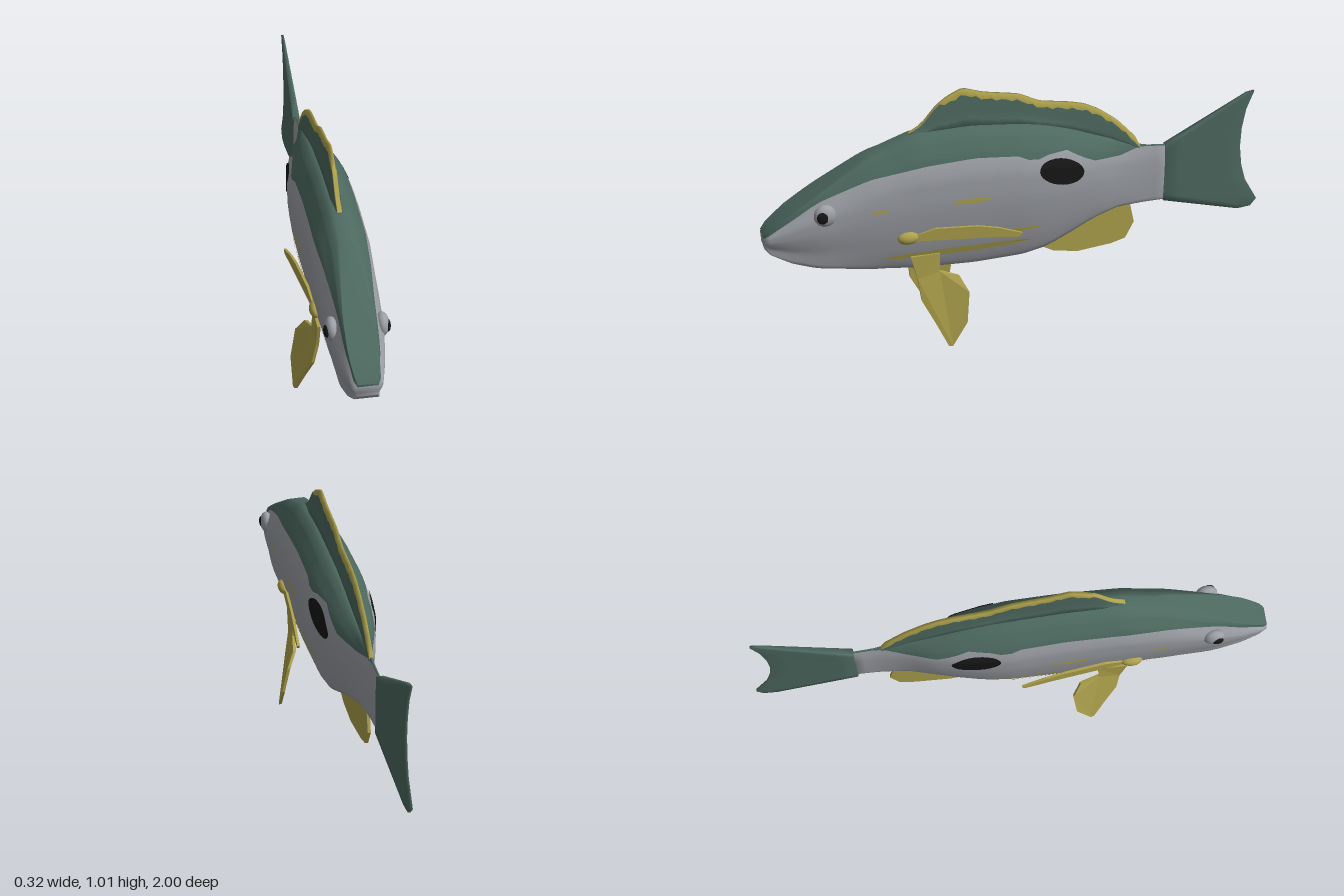
import * as THREE from 'three';

const mat = (name, color, side = THREE.FrontSide) => {
  const m = new THREE.MeshStandardMaterial({ color, side });
  m.name = name;
  return m;
};
const lerp = THREE.MathUtils.lerp;
const clamp = THREE.MathUtils.clamp;

// Piecewise linear lookup; rows are [key, value, ...] with rising or falling keys
function look(table, key, col = 1) {
  const dir = Math.sign(table[1][0] - table[0][0]);
  if ((key - table[0][0]) * dir <= 0) return table[0][col];
  for (let i = 1; i < table.length; i++) {
    const a = table[i - 1], b = table[i];
    if ((b[0] - key) * dir >= 0) return lerp(a[col], b[col], (key - a[0]) / (b[0] - a[0]));
  }
  return table[table.length - 1][col];
}

// Body outline: z, top, bottom, half width
const BODY = [
  [1, 0.53, 0.48, 0.045], [0.98, 0.553, 0.455, 0.057], [0.9, 0.615, 0.41, 0.078], [0.8, 0.68, 0.37, 0.095],
  [0.6, 0.80, 0.322, 0.106], [0.42, 0.862, 0.297, 0.112], [0.2, 0.87, 0.285, 0.117], [0, 0.85, 0.29, 0.12],
  [-0.1, 0.83, 0.31, 0.112], [-0.2, 0.80, 0.355, 0.097], [-0.3, 0.76, 0.40, 0.073], [-0.4, 0.72, 0.425, 0.036],
  [-0.5, 0.682, 0.43, 0.015], [-0.6, 0.67, 0.43, 0.012],
];
// Cross-section: height fraction, width fraction
const SECTION = [[0, 0.1], [0.03, 0.48], [0.19, 0.72], [0.36, 0.89], [0.53, 1], [0.74, 1], [0.86, 0.78], [0.96, 0.45], [1, 0.2]];
// Height of the colour change between flank and back
const FLANK = [
  [1, 0.522], [0.9, 0.59], [0.8, 0.655], [0.6, 0.73], [0.4, 0.76], [0.2, 0.77], [0.03, 0.755], [-0.03, 0.727],
  [-0.08, 0.742], [-0.17, 0.745], [-0.22, 0.71], [-0.28, 0.68], [-0.4, 0.665], [-0.48, 0.678], [-0.52, 0.7], [-0.6, 0.7],
];
// Dorsal fin edge
const DORSAL = [
  [0.43, 0.862], [0.38, 0.89], [0.32, 0.96], [0.28, 0.99], [0.22, 1.017], [0.14, 0.99], [0, 0.965], [-0.08, 0.925],
  [-0.2, 0.905], [-0.26, 0.89], [-0.32, 0.86], [-0.4, 0.80], [-0.47, 0.725], [-0.49, 0.685],
];

// Half width of the body surface at a given z and y
function bodyX(z, y) {
  const top = look(BODY, z), bottom = look(BODY, z, 2);
  const f = look(SECTION, clamp((y - bottom) / (top - bottom), 0, 1));
  const blunt = clamp((z - 0.55) / 0.4, 0, 1);
  return look(BODY, z, 3) * lerp(f, Math.max(f, 0.78), blunt);
}

// Skin closed by mirroring half rings (points run bottom to top, sections front to back)
function loft(name, halves, materials, split = Infinity) {
  const rows = halves[0].length, n = rows * 2, pos = [], lists = [[], []];
  for (const half of halves) {
    for (const [x, y, z] of half) pos.push(x, y, z);
    for (const [x, y, z] of [...half].reverse()) pos.push(-x, y, z);
  }
  for (let i = 0; i < halves.length - 1; i++) {
    for (let j = 0; j < n; j++) {
      const k = (j + 1) % n, a = i * n + j, b = i * n + k;
      const upper = j >= split && j < n - 1 - split;
      lists[upper ? 1 : 0].push(a, a + n, b, b, a + n, b + n);
    }
  }
  // End caps
  const last = (halves.length - 1) * n;
  for (let j = 0; j < rows - 1; j++) {
    const a = j, b = j + 1, c = n - 2 - j, d = n - 1 - j;
    const list = lists[j >= split ? 1 : 0];
    list.push(a, b, d, d, b, c, last + a, last + d, last + b, last + d, last + c, last + b);
  }
  const geo = new THREE.BufferGeometry();
  geo.setAttribute('position', new THREE.Float32BufferAttribute(pos, 3));
  geo.setIndex([...lists[0], ...lists[1]]);
  geo.addGroup(0, lists[0].length, 0);
  if (lists[1].length) geo.addGroup(lists[0].length, lists[1].length, 1);
  geo.computeVertexNormals();
  const mesh = new THREE.Mesh(geo, materials);
  mesh.name = name;
  return mesh;
}

// Thin fin from a [z, y] outline, bent sideways by a rule
function blade(name, outline, thick, material, bend = () => 0) {
  const shape = new THREE.Shape(outline.map(([z, y]) => new THREE.Vector2(z, y)));
  const geo = new THREE.ExtrudeGeometry(shape, { depth: thick, bevelEnabled: false });
  geo.translate(0, 0, -thick / 2).rotateY(-Math.PI / 2);
  const p = geo.attributes.position;
  for (let i = 0; i < p.count; i++) p.setX(i, p.getX(i) + bend(p.getZ(i), p.getY(i)));
  geo.computeVertexNormals();
  const mesh = new THREE.Mesh(geo, material);
  mesh.name = name;
  return mesh;
}

// Oval marking laid on the flank
function marking(name, side, [z0, y0, rz, ry, tilt = 0], material) {
  const geo = new THREE.RingGeometry(0.001, 1, 28, 5);
  const p = geo.attributes.position;
  for (let i = 0; i < p.count; i++) {
    const u = p.getX(i) * rz, v = p.getY(i) * ry;
    const z = z0 + u * Math.cos(tilt) - v * Math.sin(tilt);
    const y = y0 + u * Math.sin(tilt) + v * Math.cos(tilt);
    p.setXYZ(i, side * (bodyX(z, y) + 0.004), y, z);
  }
  // Keep faces turned outward
  if (side > 0) {
    const idx = geo.index.array;
    for (let i = 0; i < idx.length; i += 3) [idx[i], idx[i + 1]] = [idx[i + 1], idx[i]];
  }
  geo.computeVertexNormals();
  const mesh = new THREE.Mesh(geo, material);
  mesh.name = name;
  return mesh;
}

export function createModel() {
  const fish = new THREE.Group();
  fish.name = 'fish';
  const silver = mat('silver grey', 0x9c9fa5);
  const teal = mat('dark teal', 0x4d695f);
  const yellow = mat('olive yellow', 0xaea24c);
  const paint = mat('yellow marking', 0xaea24c, THREE.DoubleSide);
  const black = mat('black', 0x161616, THREE.DoubleSide);

  // Body with silver flanks and teal back
  const grey = 14, back = 8, body = [];
  const zs = [1, 0.98];
  for (let i = 1; i <= 40; i++) zs.push(0.98 - (1.58 * i) / 40);
  for (const z of zs) {
    const top = look(BODY, z), bottom = look(BODY, z, 2);
    const edge = Math.min(look(FLANK, z), lerp(bottom, top, 0.985));
    const half = [];
    for (let j = 0; j <= grey + back; j++) {
      const y = j <= grey ? lerp(bottom, edge, (j / grey) ** 1.3) : lerp(edge, top, (j - grey) / back);
      half.push([bodyX(z, y), y, z]);
    }
    body.push(half);
  }
  fish.add(loft('body', body, [silver, teal], grey));

  // Dorsal fin with a ragged yellow edge
  const dorsal = [];
  for (let i = 0; i <= 46; i++) {
    const z = 0.43 - 0.02 * i, top = look(BODY, z), base = top - 0.012;
    const tip = Math.max(look(DORSAL, z), base + 0.004);
    const ragged = z < 0.31 ? 0.024 + 0.005 * Math.sin(i * 2.3) : 0.001;
    const trim = Math.max(tip - ragged, base + 0.003);
    const w = Math.max(bodyX(z, top), 0.009);
    dorsal.push([
      [w, base, z], [lerp(w, 0.011, 0.7), lerp(base, trim, 0.3), z],
      [Math.min(w, 0.011), lerp(base, trim, 0.6), z], [0.009, trim, z], [0.006, tip, z],
    ]);
  }
  fish.add(loft('dorsalFin', dorsal, [teal, yellow], 3));

  // Forked tail fin: fans out from the tail root to the trailing edge
  const trailing = [[0.34, -0.92], [0.345, -0.975], [0.375, -1], [0.47, -0.945], [0.54, -0.925], [0.62, -0.915], [0.7, -0.918], [0.78, -0.932], [0.855, -0.962], [0.85, -0.93]];
  const tail = [];
  for (let i = 0; i <= 5; i++) {
    tail.push(trailing.map(([y, z], j) => [
      lerp(0.0135, 0.005, i / 5),
      lerp(lerp(0.43, 0.672, j / (trailing.length - 1)), y, i / 5),
      lerp(-0.595, z, i / 5),
    ]));
  }
  fish.add(loft('tailFin', tail, [teal]));

  // Anal fin
  fish.add(blade('analFin', [[-0.06, 0.33], [-0.08, 0.305], [-0.14, 0.272], [-0.24, 0.253], [-0.38, 0.266], [-0.44, 0.282],
    [-0.475, 0.35], [-0.455, 0.44], [-0.3, 0.43]], 0.012, yellow));

  for (const side of [1, -1]) {
    const label = side > 0 ? 'left' : 'right';
    // Pelvic fin, splayed outward and twisted
    fish.add(blade(label + 'PelvicFin', [[0.455, 0.38], [0.43, 0.28], [0.42, 0.19], [0.375, 0.1], [0.33, 0.003], [0.315, 0.003],
      [0.255, 0.1], [0.24, 0.22], [0.27, 0.28], [0.345, 0.305], [0.34, 0.38]], 0.012, yellow,
    (z, y) => side * (0.079 + 0.16 * Math.max(0.3 - y, 0) + 0.25 * clamp((0.35 - y) / 0.15, 0, 1) * (0.42 - z))));

    // Pectoral fin and its root
    fish.add(blade(label + 'PectoralFin', [[0.5, 0.475], [0.43, 0.482], [0.36, 0.502], [0.2, 0.497], [0.12, 0.482], [0.03, 0.452],
      [0.04, 0.436], [0.15, 0.445], [0.3, 0.45], [0.43, 0.455], [0.5, 0.46]], 0.01, yellow,
    z => side * (0.09 + 0.11 * (0.5 - z))));
    const root = new THREE.Mesh(new THREE.SphereGeometry(1, 14, 10), yellow);
    root.scale.set(0.022, 0.026, 0.042);
    root.position.set(side * 0.096, 0.472, 0.465);
    root.name = label + 'PectoralRoot';
    fish.add(root);

    // Eye and pupil
    const eye = new THREE.Mesh(new THREE.SphereGeometry(1, 20, 14), silver);
    eye.scale.set(0.026, 0.044, 0.042);
    eye.position.set(side * 0.09, 0.612, 0.775);
    eye.name = label + 'Eye';
    const pupil = new THREE.Mesh(new THREE.SphereGeometry(1, 18, 12), black);
    pupil.scale.set(0.012, 0.025, 0.024);
    pupil.position.set(side * 0.107, 0.612, 0.785);
    pupil.name = label + 'Pupil';
    fish.add(eye, pupil);

    // Flank markings
    fish.add(marking(label + 'Spot', side, [-0.14, 0.668, 0.096, 0.052, 0.3], black));
    [[0.57, 0.605, 0.035, 0.007], [0.22, 0.605, 0.075, 0.01], [0.27, 0.383, 0.29, 0.014], [0.1, 0.442, 0.17, 0.009]]
      .forEach((m, i) => fish.add(marking(label + 'Streak' + (i + 1), side, m, paint)));
  }
  return fish;
}
